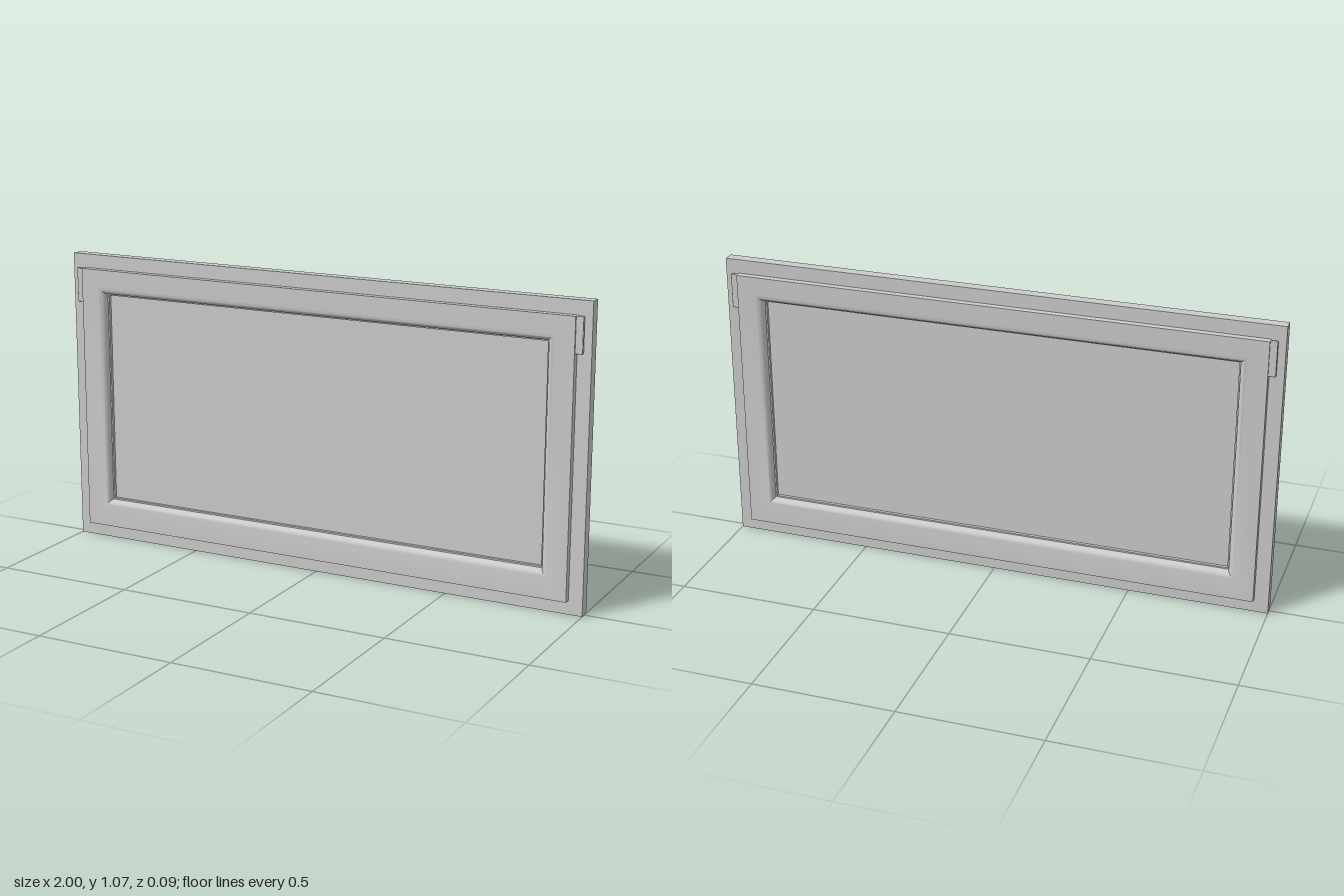
import * as THREE from 'three';
import { toCreasedNormals } from 'three/addons/utils/BufferGeometryUtils.js';
import { RoundedBoxGeometry } from 'three/addons/geometries/RoundedBoxGeometry.js';

const material = new THREE.MeshStandardMaterial({ color: 0xcccccc });

function part(name, geometry, x = 0, y = 0, z = 0) {
  const mesh = new THREE.Mesh(geometry, material);
  mesh.name = name;
  mesh.position.set(x, y, z);
  return mesh;
}

// Rectangle corners, counter-clockwise
const corners = (w, y0, y1) => [[-w, y0], [w, y0], [w, y1], [-w, y1]];
const OUTER = corners(0.95, 0.05, 1.02);
const INNER = corners(0.85, 0.155, 0.925);

// Mitred moulding: each profile point is [t, z], t running from outer to inner edge
function mouldingGeometry(profile) {
  const point = ([t, z], k) => {
    const a = OUTER[k % 4], b = INNER[k % 4];
    return [a[0] + (b[0] - a[0]) * t, a[1] + (b[1] - a[1]) * t, z];
  };
  const positions = [];
  for (let i = 0; i < profile.length - 1; i++) {
    for (let k = 0; k < 4; k++) {
      const a = point(profile[i], k), b = point(profile[i], k + 1);
      const c = point(profile[i + 1], k + 1), d = point(profile[i + 1], k);
      positions.push(...a, ...b, ...c, ...a, ...c, ...d);
    }
  }
  const geometry = new THREE.BufferGeometry();
  geometry.setAttribute('position', new THREE.Float32BufferAttribute(positions, 3));
  return toCreasedNormals(geometry, 0.6);
}

// Square outer edge, flat face, rounded bead, small step down to the panel
function mouldingProfile() {
  const profile = [[0, 0.018], [0, 0.045]];
  for (let i = 0; i <= 8; i++) {
    const a = (i / 8) * Math.PI / 2;
    profile.push([0.7 + 0.25 * Math.sin(a), 0.021 + 0.024 * Math.cos(a)]);
  }
  profile.push([1, 0.021], [1, 0.009]);
  return profile;
}

export function createModel() {
  const model = new THREE.Group();
  model.name = 'framedPanel';

  // Outer frame slab with an opening
  const shape = new THREE.Shape(corners(1, 0, 1.07).map(p => new THREE.Vector2(...p)));
  shape.holes.push(new THREE.Path(INNER.map(p => new THREE.Vector2(...p)).reverse()));
  const slab = new THREE.ExtrudeGeometry(shape, { depth: 0.04, bevelEnabled: false });
  model.add(part('outerFrame', slab, 0, 0, -0.02));

  // Thin infill panel
  model.add(part('panel', new THREE.BoxGeometry(1.72, 0.79, 0.02), 0, 0.54, 0));

  // The same moulding and hinges on both faces
  const moulding = mouldingGeometry(mouldingProfile());
  const hinge = new RoundedBoxGeometry(0.028, 0.125, 0.014, 2, 0.003);
  for (const name of ['front', 'back']) {
    const face = new THREE.Group();
    face.name = name + 'Face';
    if (name === 'back') face.rotation.y = Math.PI;
    face.add(part('moulding', moulding));
    for (const side of [-1, 1]) {
      face.add(part('hinge', hinge, side * 0.961, 0.957, 0.032));
    }
    model.add(face);
  }
  return model;
}
